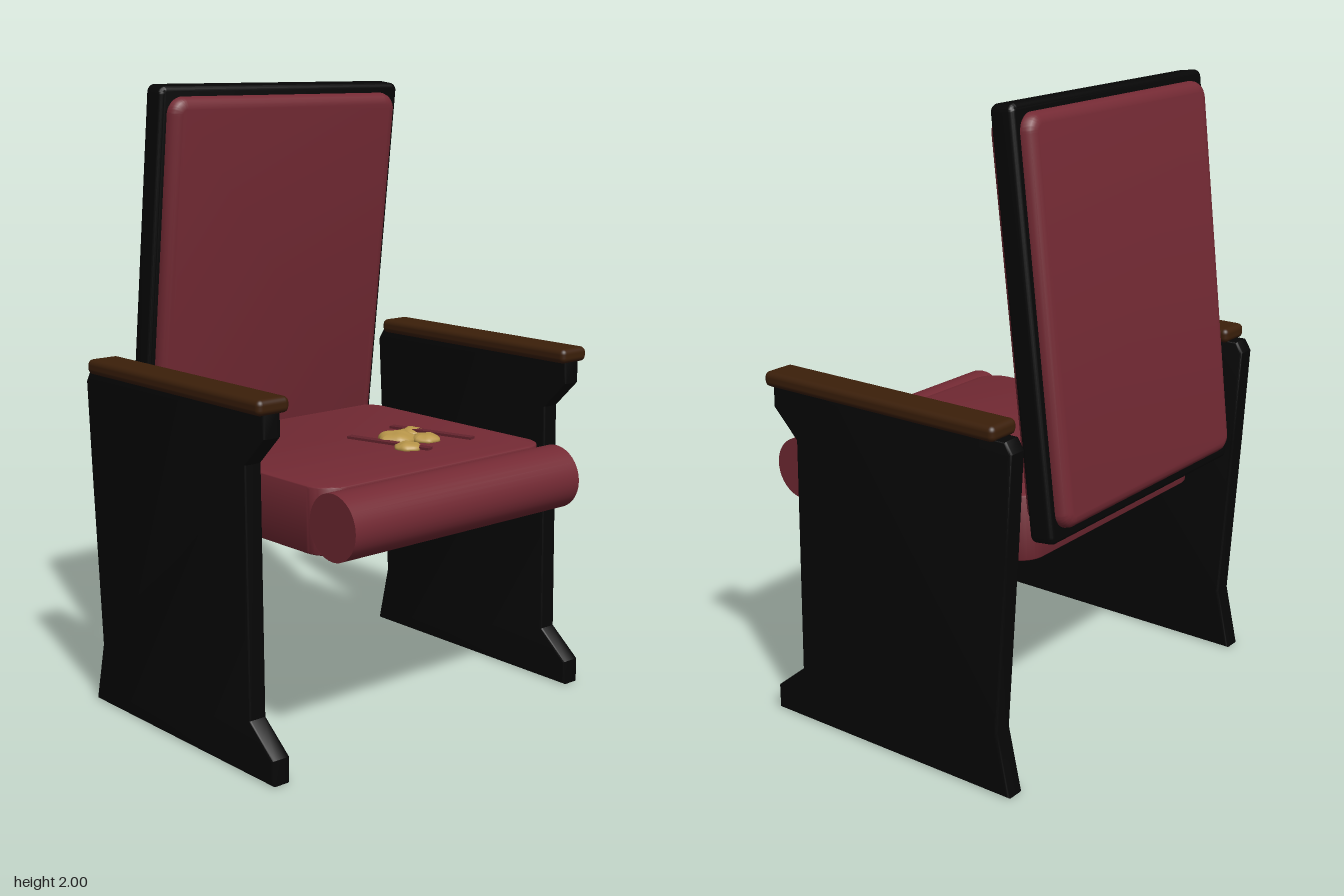
import * as THREE from 'three';
import { toCreasedNormals } from 'three/addons/utils/BufferGeometryUtils.js';
import { RoundedBoxGeometry } from 'three/addons/geometries/RoundedBoxGeometry.js';

const mat = (name, color) => Object.assign(new THREE.MeshStandardMaterial({ color }), { name });

// Extrude a shape to an exact depth, centred on z, with soft bevelled rims.
function bevelled(shape, depth, bevel) {
  const g = new THREE.ExtrudeGeometry(shape, {
    depth: depth - 2 * bevel, bevelEnabled: true, bevelThickness: bevel,
    bevelSize: bevel, bevelOffset: -bevel, bevelSegments: 4, curveSegments: 8,
  });
  g.translate(0, 0, bevel - depth / 2);
  return toCreasedNormals(g, 0.6);
}

// Slab with rounded corners in the xy plane.
function slab(w, h, depth, r, bevel) {
  const s = new THREE.Shape(), x = w / 2, y = h / 2;
  s.moveTo(-x + r, -y).lineTo(x - r, -y);
  s.absarc(x - r, -y + r, r, -Math.PI / 2, 0);
  s.absarc(x - r, y - r, r, 0, Math.PI / 2);
  s.absarc(-x + r, y - r, r, Math.PI / 2, Math.PI);
  s.absarc(-x + r, -y + r, r, Math.PI, Math.PI * 1.5);
  return bevelled(s, depth, bevel);
}

export function createModel() {
  const model = new THREE.Group();
  model.name = 'theaterSeat';
  const fabric = mat('maroonFabric', 0x742a34);
  const black = mat('blackMetal', 0x060606);
  const wood = mat('darkWood', 0x3b1f0a);
  const corn = mat('popcornYellow', 0xb8964a);
  const strip = mat('darkMaroon', 0x64242d);

  const add = (parent, name, geo, material, x = 0, y = 0, z = 0) => {
    const m = new THREE.Mesh(geo, material);
    m.name = name;
    m.position.set(x, y, z);
    parent.add(m);
    return m;
  };

  // Backrest leaning with its top forward: frame with a cushion showing on both faces
  const back = new THREE.Group();
  back.name = 'backrest';
  back.position.set(0, 1.37, -0.428);
  back.rotation.x = 0.118;
  add(back, 'backFrame', slab(0.985, 1.262, 0.08, 0.025, 0.015), black);
  add(back, 'backCushion', slab(0.93, 1.195, 0.155, 0.055, 0.035), fabric, 0, 0.003, 0);
  model.add(back);

  // Seat cushion, rounded in plan, with a front roll
  const seat = add(model, 'seatCushion', slab(0.942, 0.866, 0.207, 0.085, 0.008), fabric, 0, 0.757, 0);
  seat.rotation.x = -Math.PI / 2;
  const roll = add(model, 'seatRoll', new THREE.CylinderGeometry(0.102, 0.102, 0.944, 40), fabric, 0, 0.757, 0.467);
  roll.rotation.z = Math.PI / 2;

  // Side panel profile as (z, y)
  const profile = [
    [0.42, 0], [0.42, 0.08], [0.31, 0.17], [0.3, 0.94], [0.39, 1.03], [0.39, 1.105],
    [-0.5, 1.105], [-0.522, 1.07], [-0.505, 0.76], [-0.47, 0.2], [-0.515, 0],
  ];
  const panelShape = new THREE.Shape(profile.map(([z, y]) => new THREE.Vector2(-z, y)));
  const panelGeo = bevelled(panelShape, 0.066, 0.01);
  const armGeo = new RoundedBoxGeometry(0.116, 0.048, 0.88, 4, 0.018);
  const bracketGeo = new RoundedBoxGeometry(0.032, 0.124, 0.156, 2, 0.006);

  for (const side of [1, -1]) {
    const g = new THREE.Group();
    g.name = side > 0 ? 'leftSide' : 'rightSide';
    add(g, 'sidePanel', panelGeo, black, side * 0.628).rotation.y = Math.PI / 2;
    add(g, 'armrest', armGeo, wood, side * 0.628, 1.124, -0.037);
    add(g, 'hingeBracket', bracketGeo, black, side * 0.568, 0.71, -0.1);
    model.add(g);
  }

  // Spilled popcorn: lumpy flattened kernels as [x, z, radius]
  const kernels = [[0.13, 0.085, 0.063], [0.075, 0.197, 0.043], [0.2, 0.148, 0.047], [0.235, 0.042, 0.042]];
  kernels.forEach(([x, z, r], i) => {
    const geo = new THREE.SphereGeometry(r, 24, 16), p = geo.attributes.position;
    const v = new THREE.Vector3();
    for (let k = 0; k < p.count; k++) {
      v.fromBufferAttribute(p, k);
      const s = 1 + 0.09 * Math.sin(v.x / r * 5 + i) * Math.cos(v.z / r * 5 + i * 2);
      p.setXYZ(k, v.x * s, v.y * 0.42 * s, v.z * s);
    }
    geo.computeVertexNormals();
    add(model, 'popcorn' + (i + 1), geo, corn, x, 0.864, z);
  });

  // Two thin strips lying across the popcorn
  [[0.065, 0.119], [0.252, 0.12]].forEach(([x, z], i) => {
    const m = add(model, 'strip' + (i + 1), new THREE.BoxGeometry(0.028, 0.008, 0.31), strip, x, 0.868 + i * 0.007, z);
    m.rotation.y = 0.26;
  });

  return model;
}
